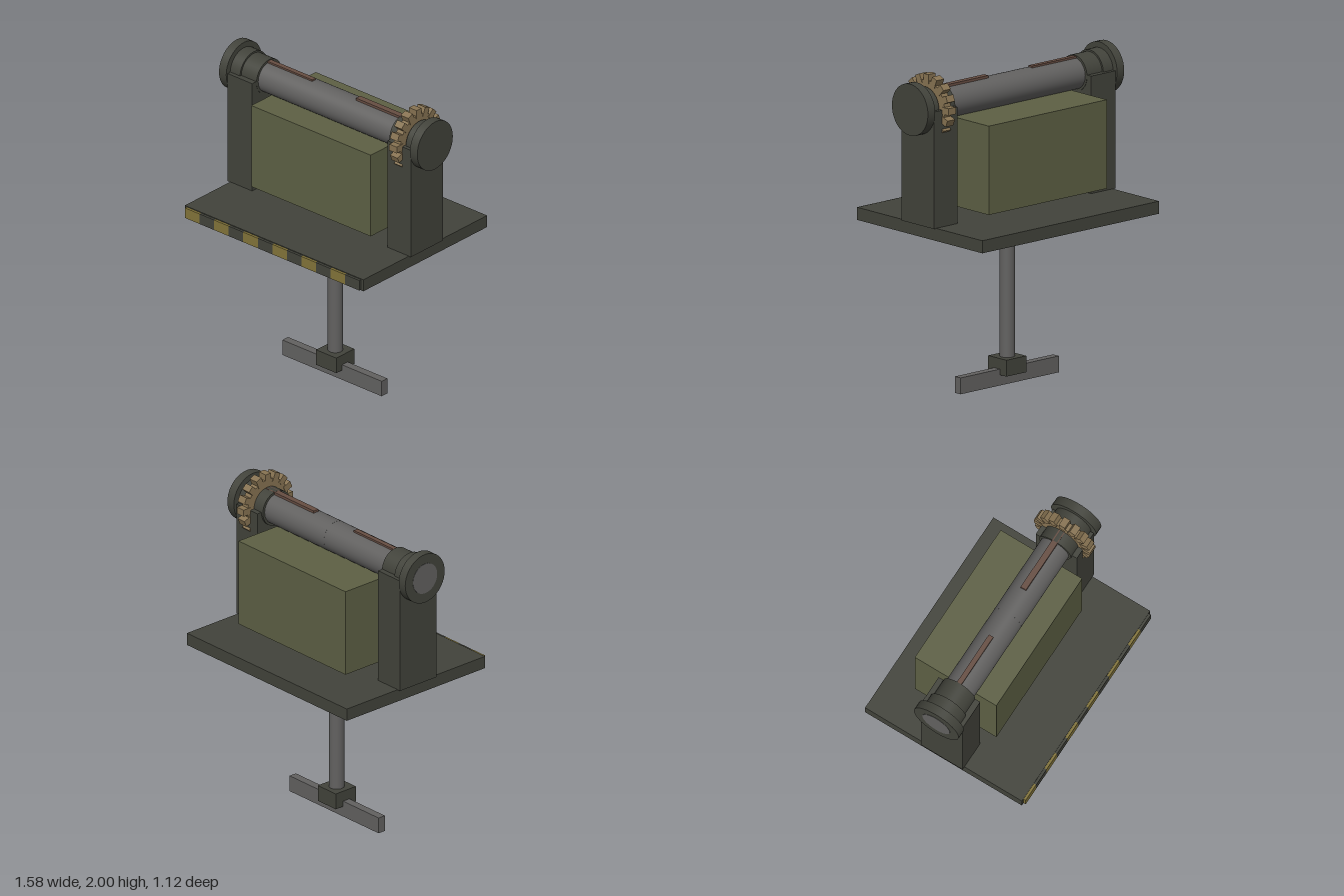
import * as THREE from 'three';

const mat = (name, color) => {
  const m = new THREE.MeshStandardMaterial({ color });
  m.name = name;
  return m;
};

export function createModel() {
  const root = new THREE.Group();
  root.name = 'rollerStand';
  const dark = mat('darkPaint', 0x42433b);
  const green = mat('olivePaint', 0x5d6044);
  const steel = mat('steel', 0x626160);
  const brass = mat('brass', 0x877352);
  const yellow = mat('warningYellow', 0x82743a);
  const brown = mat('brownStrip', 0x664d42);

  const AXIS_Y = 1.803, AXIS_Z = -0.01;

  const add = (name, geo, material, parent = root) => {
    const mesh = new THREE.Mesh(geo, material);
    mesh.name = name;
    parent.add(mesh);
    return mesh;
  };
  // box given by its limits on each axis
  const box = (name, material, [x0, x1], [y0, y1], [z0, z1]) => {
    const m = add(name, new THREE.BoxGeometry(x1 - x0, y1 - y0, z1 - z0), material);
    m.position.set((x0 + x1) / 2, (y0 + y1) / 2, (z0 + z1) / 2);
    return m;
  };
  // cylinder lying along x on the roller axis
  const drum = (name, material, x0, x1, r) => {
    const geo = new THREE.CylinderGeometry(r, r, x1 - x0, 40).rotateZ(Math.PI / 2);
    const m = add(name, geo, material);
    m.position.set((x0 + x1) / 2, AXIS_Y, AXIS_Z);
    return m;
  };

  // foot, socket and post
  box('footBar', steel, [-0.395, 0.395], [0, 0.1], [-0.025, 0.025]);
  box('postSocket', dark, [-0.08, 0.08], [0.065, 0.165], [-0.083, 0.077]);
  const post = add('post', new THREE.CylinderGeometry(0.046, 0.046, 0.93, 32), steel);
  post.position.set(0, 0.56, -0.004);

  // platform with striped front edge
  box('platform', dark, [-0.71, 0.71], [1.015, 1.092], [-0.56, 0.54]);
  const step = 0.1155;
  for (let i = 0; i < 12; i++) {
    const x = -0.693 + i * step;
    box('edgeStripe', i % 2 ? dark : yellow, [x, x + step], [1.02, 1.087], [0.54, 0.556]);
  }

  // pillars
  box('rightPillar', dark, [-0.73, -0.535], [1.09, 1.81], [-0.155, 0.137]);
  box('leftPillar', dark, [0.538, 0.725], [1.09, 1.805], [-0.153, 0.135]);

  // hanging case under the roller
  box('case', green, [-0.475, 0.475], [1.172, 1.715], [-0.36, 0.212]);

  // roller in two halves, its end showing through the right flange
  drum('rollerRight', steel, -0.792, 0, 0.096);
  drum('rollerLeft', steel, 0, 0.72, 0.0965);

  // bearings and end flanges
  drum('rightBearing', dark, -0.66, -0.533, 0.111);
  drum('rightBearingCollar', dark, -0.735, -0.655, 0.122);
  drum('rightFlange', dark, -0.79, -0.733, 0.157);
  drum('leftBearing', dark, 0.525, 0.67, 0.111);
  drum('leftBearingCollar', dark, 0.665, 0.735, 0.122);
  drum('leftFlange', dark, 0.73, 0.788, 0.158);

  // strips along the top of the roller
  box('rightStrip', brown, [-0.612, -0.178], [1.88, 1.909], [-0.028, 0.003]);
  box('leftStrip', brown, [0.175, 0.605], [1.88, 1.913], [-0.03, 0.008]);

  // gear wheel with block teeth
  const gear = new THREE.Group();
  gear.name = 'gear';
  gear.position.set(0.63, AXIS_Y, AXIS_Z);
  root.add(gear);
  add('gearWheel', new THREE.CylinderGeometry(0.16, 0.16, 0.052, 32).rotateZ(Math.PI / 2), brass, gear);
  for (let i = 0; i < 16; i++) {
    const geo = new THREE.BoxGeometry(0.06, 0.057, 0.042);
    geo.translate(0, 0.1685, 0).rotateX((i / 16) * Math.PI * 2);
    add('gearTooth', geo, brass, gear);
  }
  return root;
}
